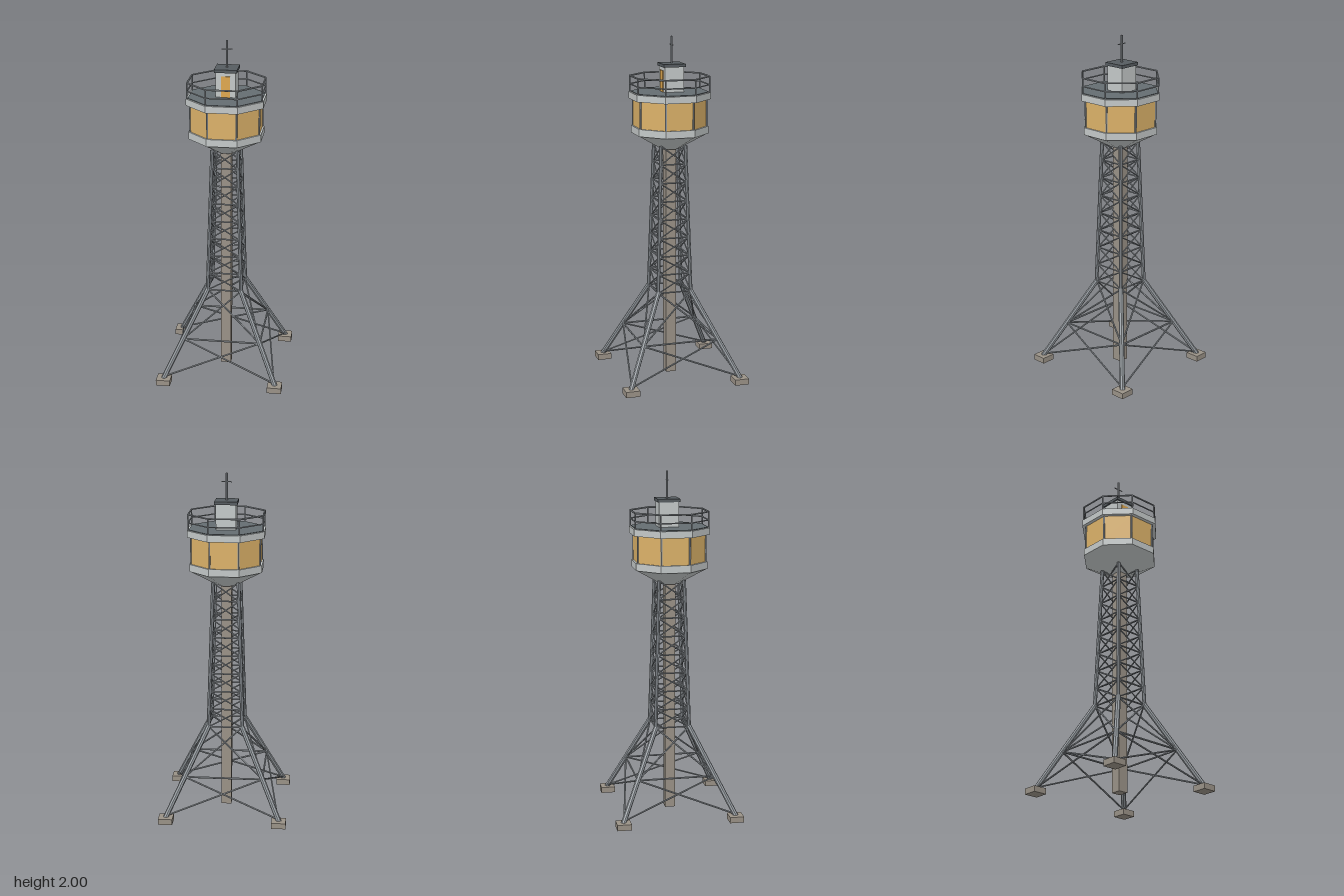
import * as THREE from 'three';

const mat = (name, color) => {
  const m = new THREE.MeshStandardMaterial({ color });
  m.name = name;
  m.flatShading = true;
  return m;
};

export function createModel() {
  const steel = mat('steel', 0x949a9f);
  const concrete = mat('concrete', 0x9a9287);
  const panel = mat('pale panel', 0xc4c9c9);
  const amber = mat('amber glass', 0xdcb269);
  const doorPaint = mat('door amber', 0xe0a84f);
  const deckGrey = mat('deck grey', 0x656d71);
  const capGrey = mat('cap grey', 0x565c60);

  const model = new THREE.Group();
  model.name = 'watchTower';
  const group = (name) => {
    const g = new THREE.Group();
    g.name = name;
    model.add(g);
    return g;
  };
  const add = (parent, name, geo, material, x = 0, y = 0, z = 0) => {
    const m = new THREE.Mesh(geo, material);
    m.name = name;
    m.position.set(x, y, z);
    parent.add(m);
    return m;
  };
  const UP = new THREE.Vector3(0, 1, 0);
  // Straight bar between two points
  const bar = (parent, name, a, b, r, sides = 6) => {
    const d = b.clone().sub(a);
    const m = add(parent, name, new THREE.CylinderGeometry(r, r, d.length(), sides), steel);
    m.position.copy(a).add(b).multiplyScalar(0.5);
    m.quaternion.setFromUnitVectors(UP, d.normalize());
  };
  // Octagonal drum, sized by the distance from centre to flat side
  const K = Math.cos(Math.PI / 8);
  const drum = (name, top, bottom, y0, y1, material) =>
    add(model, name, new THREE.CylinderGeometry(top / K, bottom / K, y1 - y0, 8, 1, false, Math.PI / 8),
      material, 0, (y0 + y1) / 2, 0);
  const octCorner = (i, apothem, y) => {
    const a = Math.PI / 8 + (i * Math.PI) / 4;
    return new THREE.Vector3(Math.sin(a) * apothem / K, y, Math.cos(a) * apothem / K);
  };

  // Half spread of the legs at a given height
  const KNEE = 0.515, TOP = 1.38;
  const spread = (y) => y < KNEE
    ? 0.33 + (0.098 - 0.33) * (y - 0.03) / (KNEE - 0.03)
    : 0.098 + (0.073 - 0.098) * (y - KNEE) / (TOP - KNEE);
  const signs = [[1, 1], [1, -1], [-1, -1], [-1, 1]];
  const corner = (i, y) => {
    const s = spread(y), [sx, sz] = signs[i % 4];
    return new THREE.Vector3(sx * s, y, sz * s);
  };

  // Footings and legs
  const legs = group('legs');
  signs.forEach(([sx, sz], i) => {
    add(legs, 'footing', new THREE.BoxGeometry(0.083, 0.034, 0.083), concrete, sx * 0.329, 0.017, sz * 0.329);
    bar(legs, 'lowerLeg', corner(i, 0.028), corner(i, KNEE + 0.004), 0.015, 8);
    bar(legs, 'upperLeg', corner(i, KNEE - 0.004), corner(i, TOP), 0.011, 8);
  });

  // Lattice: a ring and crossed braces for each tier
  const lattice = group('lattice');
  const levels = [0.04, 0.245, KNEE];
  const TIERS = 8;
  for (let k = 1; k <= TIERS; k++) levels.push(KNEE + (TOP - KNEE) * k / TIERS);
  for (let t = 0; t < levels.length - 1; t++) {
    const y0 = levels[t], y1 = levels[t + 1];
    const r = t < 2 ? 0.005 : 0.004;
    for (let i = 0; i < 4; i++) {
      bar(lattice, 'brace', corner(i, y0), corner(i + 1, y1), r);
      bar(lattice, 'brace', corner(i + 1, y0), corner(i, y1), r);
      if (t > 0) bar(lattice, 'ringBeam', corner(i, y0), corner(i + 1, y0), r + 0.0005);
    }
  }

  // Central shaft
  add(model, 'shaft', new THREE.BoxGeometry(0.06, 1.38, 0.06), concrete, 0, 0.69, 0);

  // Cabin
  drum('cabinBase', 0.203, 0.052, 1.355, 1.445, panel);
  drum('sillBand', 0.207, 0.207, 1.445, 1.487, panel);
  drum('windows', 0.197, 0.197, 1.487, 1.643, amber);
  drum('roofSlab', 0.219, 0.219, 1.643, 1.682, panel);
  drum('roofDeck', 0.209, 0.209, 1.68, 1.686, deckGrey);
  const mullions = group('mullions');
  for (let i = 0; i < 8; i++)
    bar(mullions, 'mullion', octCorner(i, 0.196, 1.48), octCorner(i, 0.196, 1.65), 0.006);

  // Railing
  const railing = group('railing');
  for (let i = 0; i < 8; i++) {
    bar(railing, 'post', octCorner(i, 0.212, 1.68), octCorner(i, 0.212, 1.775), 0.0045);
    bar(railing, 'topRail', octCorner(i, 0.212, 1.773), octCorner(i + 1, 0.212, 1.773), 0.005);
    bar(railing, 'midRail', octCorner(i, 0.212, 1.726), octCorner(i + 1, 0.212, 1.726), 0.004);
  }

  // Roof hut with door and cap
  const HZ = -0.012;
  add(model, 'hut', new THREE.BoxGeometry(0.114, 0.146, 0.114), panel, 0, 1.757, HZ);
  add(model, 'door', new THREE.BoxGeometry(0.052, 0.122, 0.006), doorPaint, 0, 1.746, HZ + 0.058);
  add(model, 'hutCap', new THREE.BoxGeometry(0.13, 0.018, 0.13), capGrey, 0, 1.837, HZ);

  // Mast with aerial
  const mast = group('mast');
  bar(mast, 'mastPole', new THREE.Vector3(0, 1.84, HZ), new THREE.Vector3(0, 2, HZ), 0.006, 8);
  bar(mast, 'aerial', new THREE.Vector3(-0.03, 1.95, HZ), new THREE.Vector3(0.03, 1.95, HZ), 0.003);

  return model;
}
